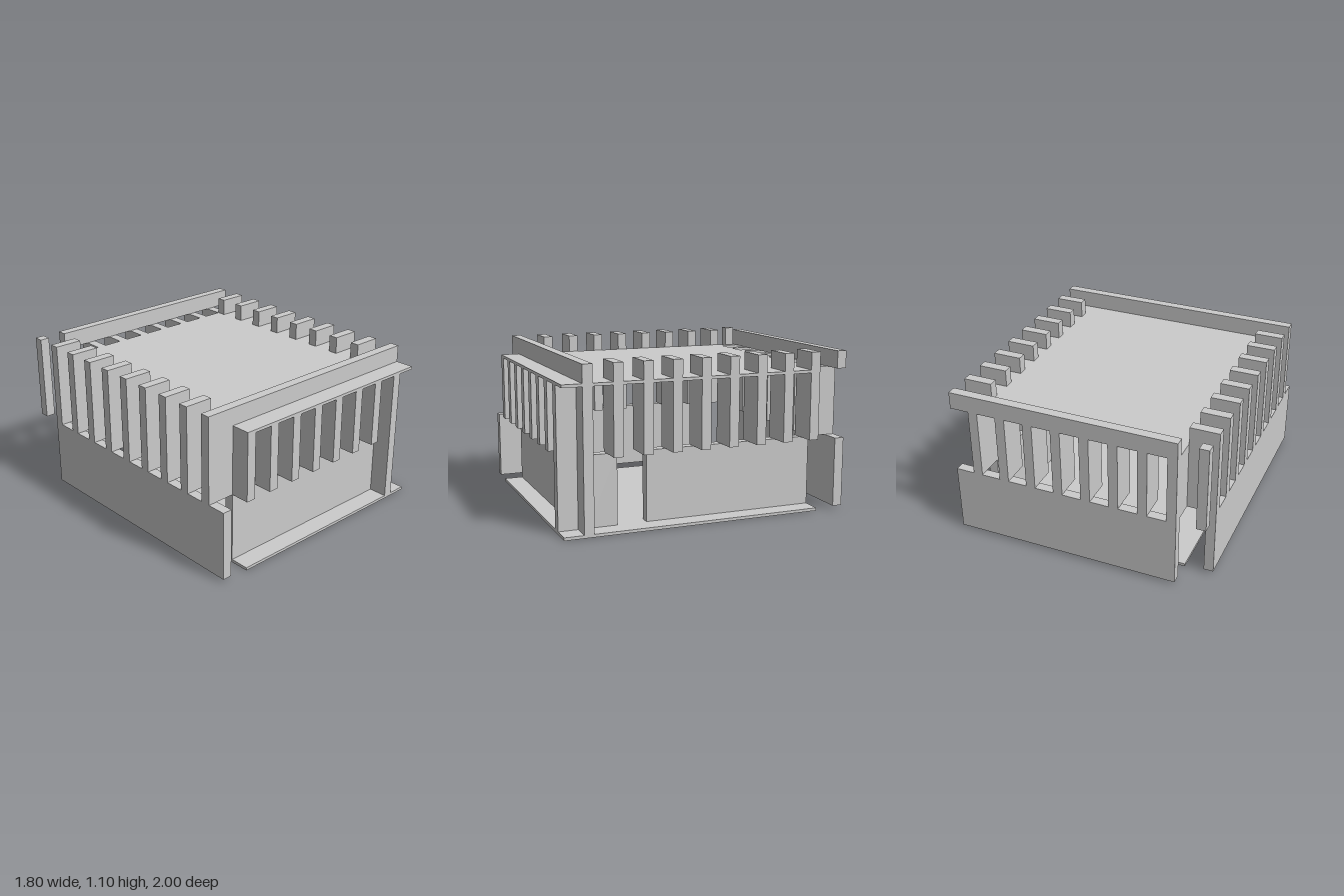
import * as THREE from 'three';

export function createModel() {
  const model = new THREE.Group();
  const material = new THREE.MeshStandardMaterial({ color: 0xcccccc, flatShading: true });

  // Box given by its low and high limits on each axis
  function block(name, x0, x1, y0, y1, z0, z1) {
    const mesh = new THREE.Mesh(new THREE.BoxGeometry(x1 - x0, y1 - y0, z1 - z0), material);
    mesh.position.set((x0 + x1) / 2, (y0 + y1) / 2, (z0 + z1) / 2);
    mesh.name = name;
    model.add(mesh);
  }

  const T = 0.067; // wall and slat thickness
  const FLOOR = 0.02, SILL = 0.5, CEILING = 0.96, ROOF = 0.98, TOP = 1.1;

  // Floor and roof slabs
  block('floor', -0.7, 0.9, 0, FLOOR, -0.8, 1);
  block('roof', -0.7, 0.9, CEILING, ROOF, -0.8, 1);

  // Low walls; the right one leaves a doorway
  block('frontWall', -0.7, 0.7, FLOOR, SILL, 0.8, 0.8 + T);
  block('backWall', -0.7, 0.9, FLOOR, SILL, -1, -1 + T);
  block('leftWall', -0.9, -0.9 + T, FLOOR, SILL, -0.8, 1);
  block('rightWallRear', 0.7, 0.7 + T, FLOOR, SILL, -0.8, 0.4);
  block('rightWallFront', 0.7, 0.7 + T, FLOOR, SILL, 0.6, 0.8);

  // Parapet beams over the front and back
  block('frontBeam', -0.9, 0.9, ROOF, TOP, 0.8, 0.8 + T);
  block('backBeam', -0.7, 0.9, ROOF, TOP, -1, -1 + T);

  // Window fins along the front and back
  for (let i = 0; i < 8; i++) {
    const x = -0.7 + i * 0.2;
    if (i < 7) block('frontFin', x, x + T, SILL, CEILING, 0.8, 1);
    block('backFin', x, x + T, SILL, ROOF, -1, -0.8);
  }

  // Tall fins along both sides
  for (let i = 0; i < 9; i++) {
    const z = -0.8 + i * 0.2;
    block('leftFin', -0.9, -0.7, SILL, TOP, z, z + T);
    if (i < 8) block('rightFin', 0.7, 0.9, SILL, TOP, z, z + T);
  }

  // Crossed full-height corner fins and the free corner post
  block('cornerFinFront', 0.7, 0.7 + T, FLOOR, CEILING, 0.8, 1);
  block('cornerFinSide', 0.7, 0.9, FLOOR, ROOF, 0.8, 0.8 + T);
  block('cornerPost', -0.9, -0.9 + T, SILL, TOP, -1, -1 + T);

  // Small rail in the first front window
  block('windowRail', -0.7 + T, -0.5, 0.525, 0.55, 0.8, 0.8 + T);

  return model;
}
